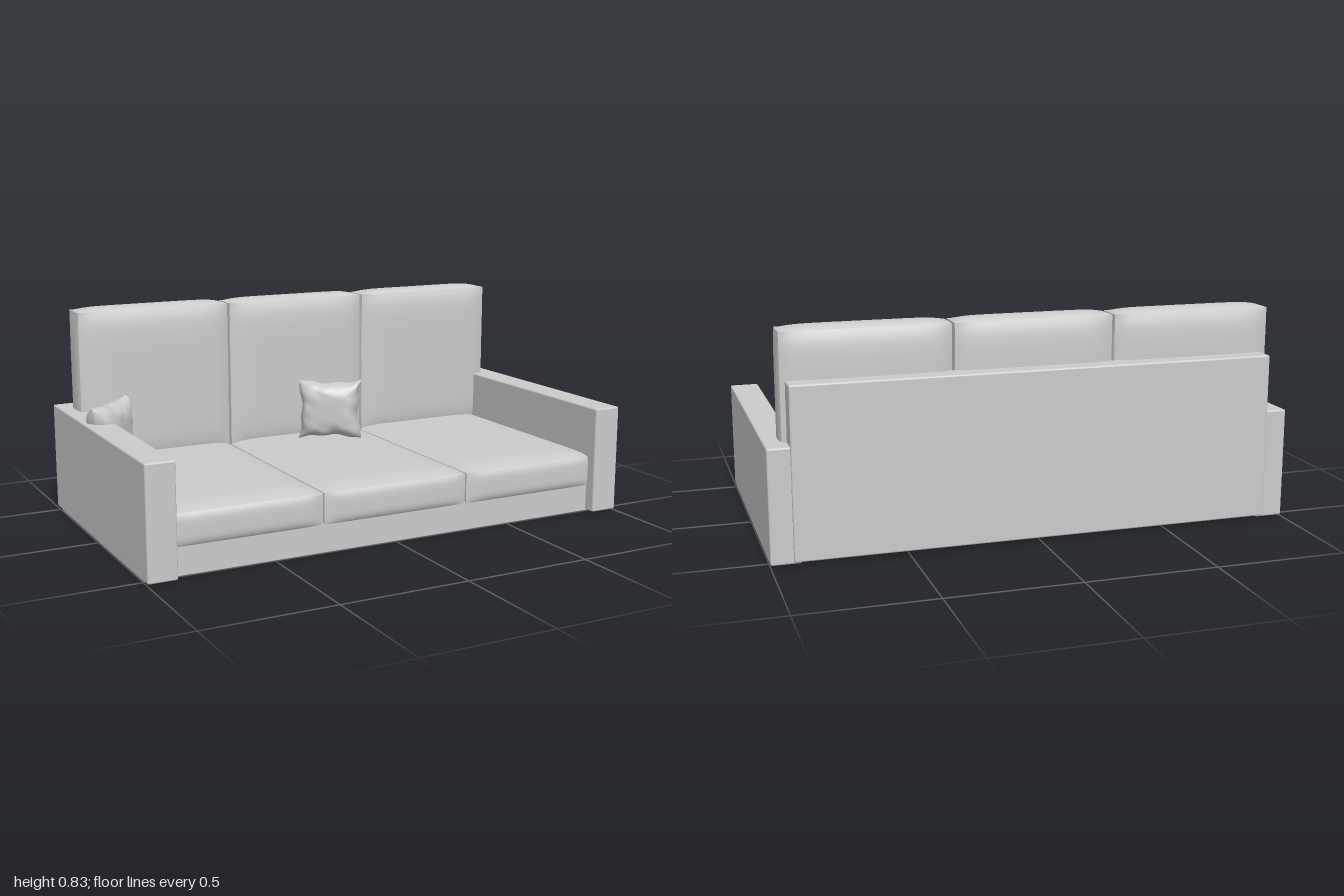
import * as THREE from 'three';
import { RoundedBoxGeometry } from 'three/addons/geometries/RoundedBoxGeometry.js';
import { mergeVertices } from 'three/addons/utils/BufferGeometryUtils.js';

const material = new THREE.MeshStandardMaterial({ color: 0xcccccc });

function add(parent, name, geometry) {
  const mesh = new THREE.Mesh(geometry, material);
  mesh.name = name;
  parent.add(mesh);
  return mesh;
}

// Box given by its limits, with slightly softened edges
function panel(parent, name, [x0, x1], [y0, y1], [z0, z1], radius = 0.007) {
  const mesh = add(parent, name, new RoundedBoxGeometry(x1 - x0, y1 - y0, z1 - z0, 2, radius));
  mesh.position.set((x0 + x1) / 2, (y0 + y1) / 2, (z0 + z1) / 2);
  return mesh;
}

// Stuffed block: each face sinks by drop[i] towards its borders
function cushion(parent, name, min, max, drop, power) {
  const half = min.map((v, i) => (max[i] - v) / 2);
  const geometry = new THREE.BoxGeometry(2, 2, 2, 28, 28, 28);
  const pos = geometry.attributes.position;
  for (let i = 0; i < pos.count; i++) {
    const n = [pos.getX(i), pos.getY(i), pos.getZ(i)];
    const out = n.map((v, a) => {
      const keep = n.reduce((p, w, b) => (b === a ? p : p * (1 - Math.abs(w) ** power[b])), 1);
      return v * (half[a] - drop[a] * (1 - keep));
    });
    pos.setXYZ(i, ...out);
  }
  geometry.computeVertexNormals();
  const mesh = add(parent, name, geometry);
  mesh.position.set(...min.map((v, i) => v + half[i]));
}

// Throw pillow: pinched square with drawn-in sides and soft creases
function throwPillow(parent, name, x, z, turn) {
  const geometry = new THREE.BoxGeometry(2, 2, 2, 32, 32, 2);
  const pos = geometry.attributes.position;
  for (let i = 0; i < pos.count; i++) {
    const u = pos.getX(i), v = pos.getY(i), w = pos.getZ(i);
    const puff = Math.sqrt(Math.max(0, (1 - u ** 4) * (1 - v ** 4)));
    const edge = Math.max(Math.abs(u), Math.abs(v)) ** 3;
    const crease = 1 + 0.13 * edge * Math.sin(9 * u + 4 * v * w) * Math.cos(8 * v - 3 * u);
    pos.setXYZ(i,
      0.132 * u * (1 - 0.11 * (1 - v * v)) + 0.003 * Math.sin(7 * v) * edge,
      0.124 * v * (1 - 0.11 * (1 - u * u)) + 0.003 * Math.sin(8 * u) * edge,
      w * (0.004 + 0.058 * puff * crease) + 0.006 * edge * Math.sin(5 * u + 3 * v));
  }
  geometry.deleteAttribute('normal');
  geometry.deleteAttribute('uv');
  const smooth = mergeVertices(geometry, 1e-5);
  smooth.computeVertexNormals();
  const mesh = add(parent, name, smooth);
  mesh.position.set(x, 0.372, z);
  mesh.rotation.y = turn;
}

export function createModel() {
  const sofa = new THREE.Group();
  sofa.name = 'sofa';

  // Frame
  panel(sofa, 'base', [-0.998, 0.998], [0, 0.113], [-0.48, 0.5], 0.004);
  panel(sofa, 'rightArm', [-1, -0.888], [0.005, 0.43], [-0.543, 0.548]);
  panel(sofa, 'leftArm', [0.888, 1], [0.005, 0.43], [-0.543, 0.548]);
  panel(sofa, 'backPanel', [-0.917, 0.917], [0.012, 0.65], [-0.552, -0.46]);

  // Three seat and three back cushions
  const seats = [[-0.915, -0.306], [-0.306, 0.306], [0.306, 0.915]];
  const backs = [[-0.949, -0.306], [-0.306, 0.306], [0.306, 0.942]];
  const names = ['right', 'middle', 'left'];
  names.forEach((side, i) => {
    cushion(sofa, side + 'SeatCushion', [seats[i][0], 0.09, -0.47], [seats[i][1], 0.246, 0.513],
      [0.003, 0.018, 0.012], [8, 4, 14]);
    cushion(sofa, side + 'BackCushion', [backs[i][0], 0.2, -0.482], [backs[i][1], 0.835, -0.33],
      [i === 1 ? 0.003 : 0.008, 0.014, 0.02], [8, 8, 3]);
  });

  // Loose pillows
  throwPillow(sofa, 'cornerPillow', -0.878, -0.188, 0.78);
  throwPillow(sofa, 'middlePillow', 0.078, -0.192, -0.52);

  return sofa;
}
